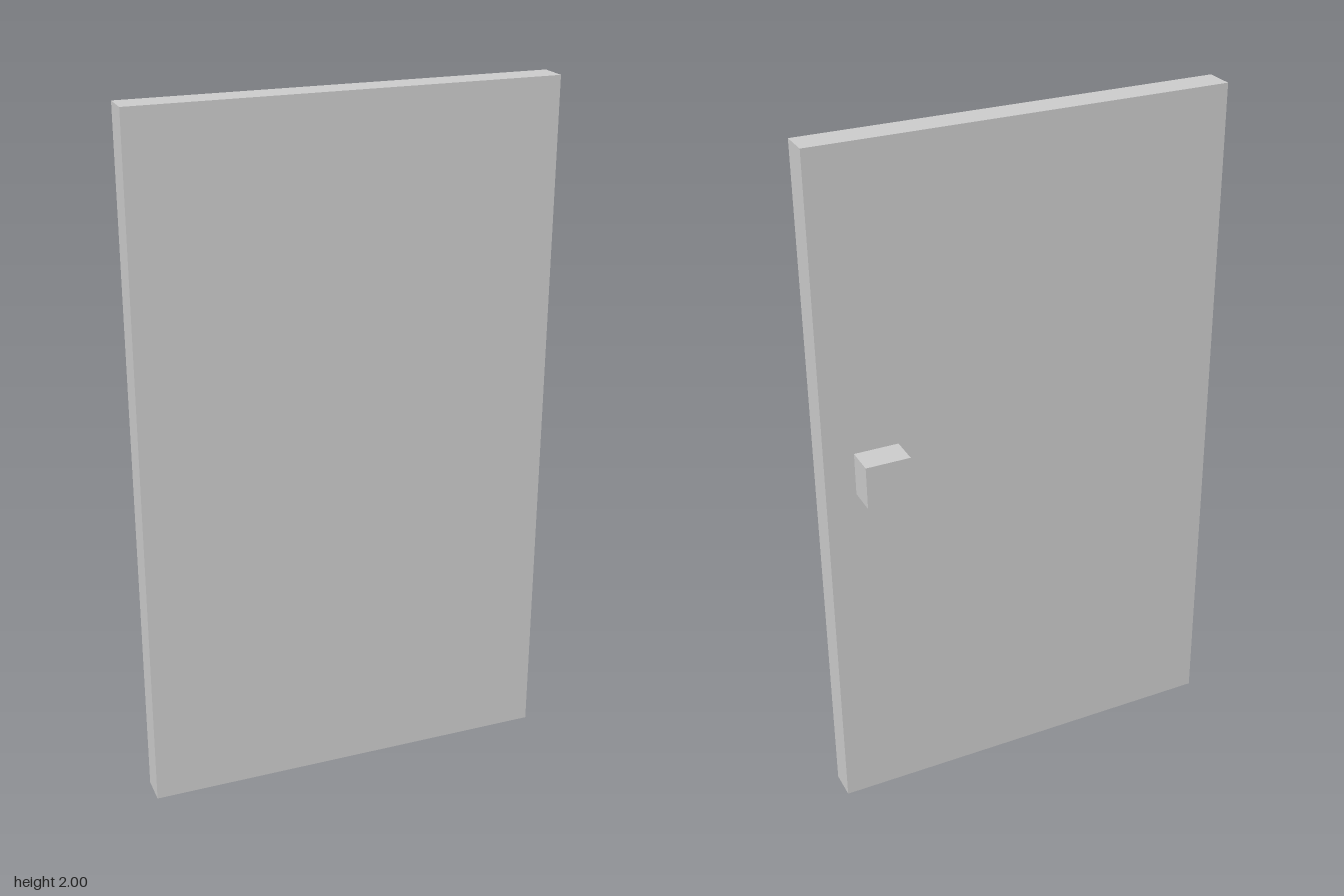
import * as THREE from 'three';

const material = new THREE.MeshStandardMaterial({ color: 0xcccccc, flatShading: true });

// Box given by its lower and upper corners
function addBox(group, name, min, max) {
  const [w, h, d] = max.map((v, i) => v - min[i]);
  const mesh = new THREE.Mesh(new THREE.BoxGeometry(w, h, d), material);
  mesh.name = name;
  mesh.position.set(min[0] + w / 2, min[1] + h / 2, min[2] + d / 2);
  group.add(mesh);
}

export function createModel() {
  const door = new THREE.Group();
  door.name = 'door';

  // Flat slab
  addBox(door, 'doorPanel', [-0.595, 0, 0], [0.595, 2, 0.085]);
  // Square knob on the back, near the left edge
  addBox(door, 'doorKnob', [0.382, 1.026, -0.085], [0.509, 1.15, 0]);

  return door;
}
